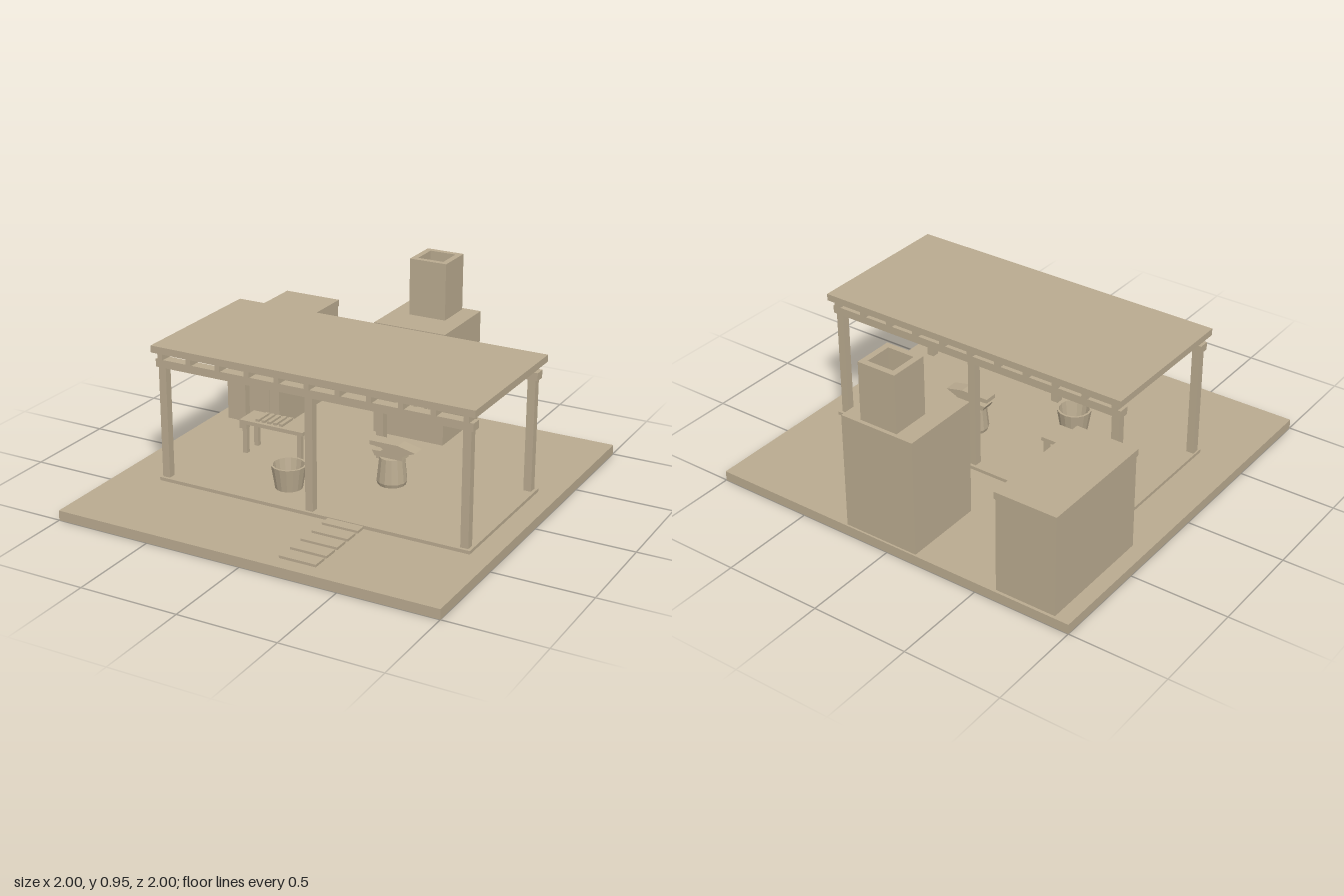
import * as THREE from 'three';

export function createModel() {
  const model = new THREE.Group();
  const clay = new THREE.MeshStandardMaterial({ color: 0xb9aa8f });
  clay.name = 'sandy clay';
  clay.flatShading = true;

  function add(name, geometry, parent = model) {
    const mesh = new THREE.Mesh(geometry, clay);
    mesh.name = name;
    parent.add(mesh);
    return mesh;
  }
  // box given by its limits on each axis
  function box(name, x0, x1, y0, y1, z0, z1, parent = model) {
    const mesh = add(name, new THREE.BoxGeometry(x1 - x0, y1 - y0, z1 - z0), parent);
    mesh.position.set((x0 + x1) / 2, (y0 + y1) / 2, (z0 + z1) / 2);
    return mesh;
  }
  function group(name) {
    const g = new THREE.Group();
    g.name = name;
    model.add(g);
    return g;
  }
  function rectangle(Type, x0, x1, y0, y1) {
    const r = new Type();
    r.moveTo(x0, y0);
    r.lineTo(x1, y0);
    r.lineTo(x1, y1);
    r.lineTo(x0, y1);
    r.closePath();
    return r;
  }
  const extrude = (shape, depth) =>
    new THREE.ExtrudeGeometry(shape, { depth, bevelEnabled: false, curveSegments: 16 });

  // ground and workshop floor
  box('ground', -1, 1, 0, 0.05, -1, 1);
  box('floor', -0.78, 0.89, 0.05, 0.067, -0.29, 0.48);

  // stepping stones
  const path = group('path');
  for (let i = 0; i < 5; i++) {
    const z = 0.497 + i * 0.0965;
    box('steppingStone', 0.16, 0.35, 0.05, 0.063, z - 0.038, z + 0.038, path);
  }

  // open shelter: posts, beams, joists and flat roof
  const shelter = group('shelter');
  for (const z of [0.445, -0.255]) {
    for (const x of [-0.752, 0.052, 0.855])
      box('post', x - 0.02, x + 0.02, 0.067, 0.64, z - 0.02, z + 0.02, shelter);
    box('beam', -0.783, 0.888, 0.64, 0.68, z - 0.027, z + 0.027, shelter);
  }
  for (let i = 0; i < 11; i++) {
    const x = -0.754 + i * 0.161;
    box('joist', x - 0.013, x + 0.013, 0.68, 0.715, -0.295, 0.48, shelter);
  }
  box('roof', -0.797, 0.903, 0.715, 0.75, -0.307, 0.49, shelter);

  // furnace with an arched mouth
  const furnace = group('furnace');
  const front = rectangle(THREE.Shape, -0.16, 0.24, 0.05, 0.65);
  const mouth = new THREE.Path();
  mouth.moveTo(-0.07, 0.2);
  mouth.lineTo(0.154, 0.2);
  mouth.lineTo(0.154, 0.365);
  mouth.absarc(0.042, 0.365, 0.112, 0, Math.PI, false);
  mouth.closePath();
  front.holes.push(mouth);
  add('furnaceFront', extrude(front, 0.3), furnace).position.z = -0.87;
  box('furnaceBack', -0.16, 0.24, 0.05, 0.65, -0.99, -0.87, furnace);
  for (const x of [-0.025, 0.035, 0.095])
    box('firewood', x - 0.015, x + 0.015, 0.2, 0.217, -0.8, -0.566, furnace);

  // hollow chimney
  const flue = rectangle(THREE.Shape, -0.102, 0.102, -0.102, 0.102);
  flue.holes.push(rectangle(THREE.Path, -0.071, 0.071, -0.071, 0.071));
  const chimney = add('chimney', extrude(flue, 0.3), furnace);
  chimney.rotation.x = -Math.PI / 2;
  chimney.position.set(0.042, 0.65, -0.868);

  // storage shed with lid and framed door
  const shed = group('shed');
  box('shedWalls', -0.92, -0.605, 0.05, 0.54, -0.985, -0.36, shed);
  box('shedLid', -0.925, -0.6, 0.54, 0.575, -0.99, -0.354, shed);
  const frame = rectangle(THREE.Shape, -0.862, -0.662, 0.05, 0.49);
  frame.holes.push(rectangle(THREE.Path, -0.847, -0.675, 0.065, 0.477));
  add('doorFrame', extrude(frame, 0.005), shed).position.z = -0.36;
  box('door', -0.847, -0.675, 0.065, 0.477, -0.362, -0.358, shed);

  // workbench with a row of tools
  const bench = group('workbench');
  box('benchTop', -0.6, -0.235, 0.225, 0.245, -0.107, 0.033, bench);
  for (const x of [-0.573, -0.258])
    for (const z of [-0.09, 0.016])
      box('benchLeg', x - 0.012, x + 0.012, 0.067, 0.225, z - 0.012, z + 0.012, bench);
  for (let i = 0; i < 5; i++) {
    const x = -0.507 + i * 0.034;
    box('tool', x - 0.01, x + 0.01, 0.245, 0.258, -0.088, 0.014, bench);
  }

  // open water bucket
  const bucketProfile = [[0, 0], [0.068, 0], [0.088, 0.12], [0.077, 0.12], [0.06, 0.02], [0, 0.02]];
  const bucket = add('bucket', new THREE.LatheGeometry(
    bucketProfile.map(([r, y]) => new THREE.Vector2(r, y)), 16));
  bucket.position.set(-0.17, 0.067, 0.275);

  // tapered stump
  const stumpProfile = [[0, 0], [0.07, 0], [0.076, 0.018], [0.063, 0.142], [0, 0.142]];
  const stump = add('stump', new THREE.LatheGeometry(
    stumpProfile.map(([r, y]) => new THREE.Vector2(r, y)), 14));
  stump.position.set(0.242, 0.067, -0.007);

  // anvil: side outline with a pointed horn and waisted base
  const outline = [
    [0.165, 0.209], [0.315, 0.209], [0.312, 0.228], [0.33, 0.24], [0.385, 0.262],
    [0.29, 0.283], [0.137, 0.283], [0.137, 0.262], [0.198, 0.257], [0.21, 0.248],
    [0.198, 0.238], [0.15, 0.236],
  ].map(([x, y]) => new THREE.Vector2(x, y));
  add('anvil', extrude(new THREE.Shape(outline), 0.07)).position.z = -0.041;

  return model;
}
